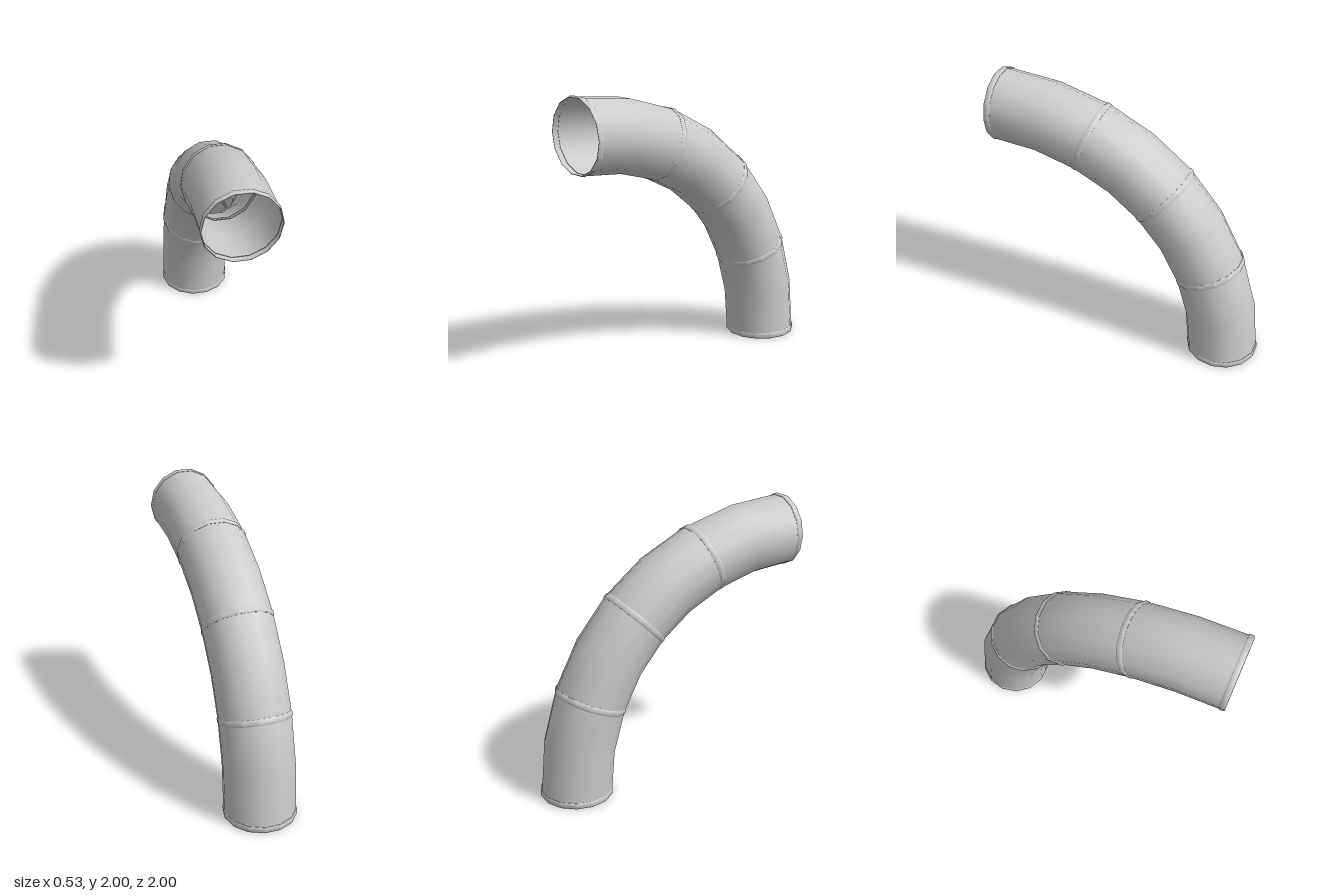
import * as THREE from 'three';
import { toCreasedNormals } from 'three/addons/utils/BufferGeometryUtils.js';

const SIDES = 14;
const BEND = 1.742; // radius of the centre line
const PIPE = 0.259;
const BAND = 0.2645;
const STEPS = 8;

const material = new THREE.MeshStandardMaterial({ color: 0xcccccc, side: THREE.DoubleSide });

// Centre line: a quarter bend rising from the ground and turning to the front
const H = BEND * 0.588;
const path = new THREE.CubicBezierCurve3(
  new THREE.Vector3(0, 0, 1 - BEND),
  new THREE.Vector3(0, H, 1 - BEND),
  new THREE.Vector3(0, BEND, 1 - H),
  new THREE.Vector3(0, BEND, 1)
);

// Skin of rings, each { t, offset, radius }, set square to the path
function sweep(rings) {
  const positions = [], index = [];
  rings.forEach(({ t, offset, radius }, i) => {
    const tangent = path.getTangent(t);
    const centre = path.getPoint(t).addScaledVector(tangent, offset);
    const across = new THREE.Vector3(1, 0, 0);
    const up = new THREE.Vector3().crossVectors(tangent, across);
    for (let j = 0; j < SIDES; j++) {
      const a = (j / SIDES) * Math.PI * 2;
      const p = centre.clone()
        .addScaledVector(across, radius * Math.cos(a))
        .addScaledVector(up, radius * Math.sin(a));
      positions.push(p.x, p.y, p.z);
      if (i === 0) continue;
      const k = (j + 1) % SIDES;
      const low = (i - 1) * SIDES, high = i * SIDES;
      index.push(low + j, low + k, high + k, low + j, high + k, high + j);
    }
  });
  const geometry = new THREE.BufferGeometry();
  geometry.setAttribute('position', new THREE.Float32BufferAttribute(positions, 3));
  geometry.setIndex(index);
  geometry.computeVertexNormals();
  return geometry;
}

// Raised, bevelled band between two offsets along the path
function band(t, from, to) {
  const bevel = (to - from) * 0.22;
  return toCreasedNormals(sweep([
    { t, offset: from, radius: PIPE - 0.003 },
    { t, offset: from, radius: PIPE },
    { t, offset: from + bevel, radius: BAND },
    { t, offset: to - bevel, radius: BAND },
    { t, offset: to, radius: PIPE },
    { t, offset: to, radius: PIPE - 0.003 },
  ]), 0.6);
}

export function createModel() {
  const model = new THREE.Group();
  model.name = 'pipeBend';
  const add = (name, geometry) => {
    const mesh = new THREE.Mesh(geometry, material);
    mesh.name = name;
    model.add(mesh);
  };

  // Hollow pipe, open at both ends
  const rings = [];
  for (let i = 0; i <= STEPS; i++) rings.push({ t: i / STEPS, offset: 0, radius: PIPE });
  add('pipe', sweep(rings));

  // Rims on the open ends and bands over the joints
  add('bottomRim', band(0, 0, 0.045));
  [0.25, 0.5, 0.75].forEach((t, i) => add('jointBand' + (i + 1), band(t, -0.022, 0.022)));
  add('frontRim', band(1, -0.045, 0));

  return model;
}
